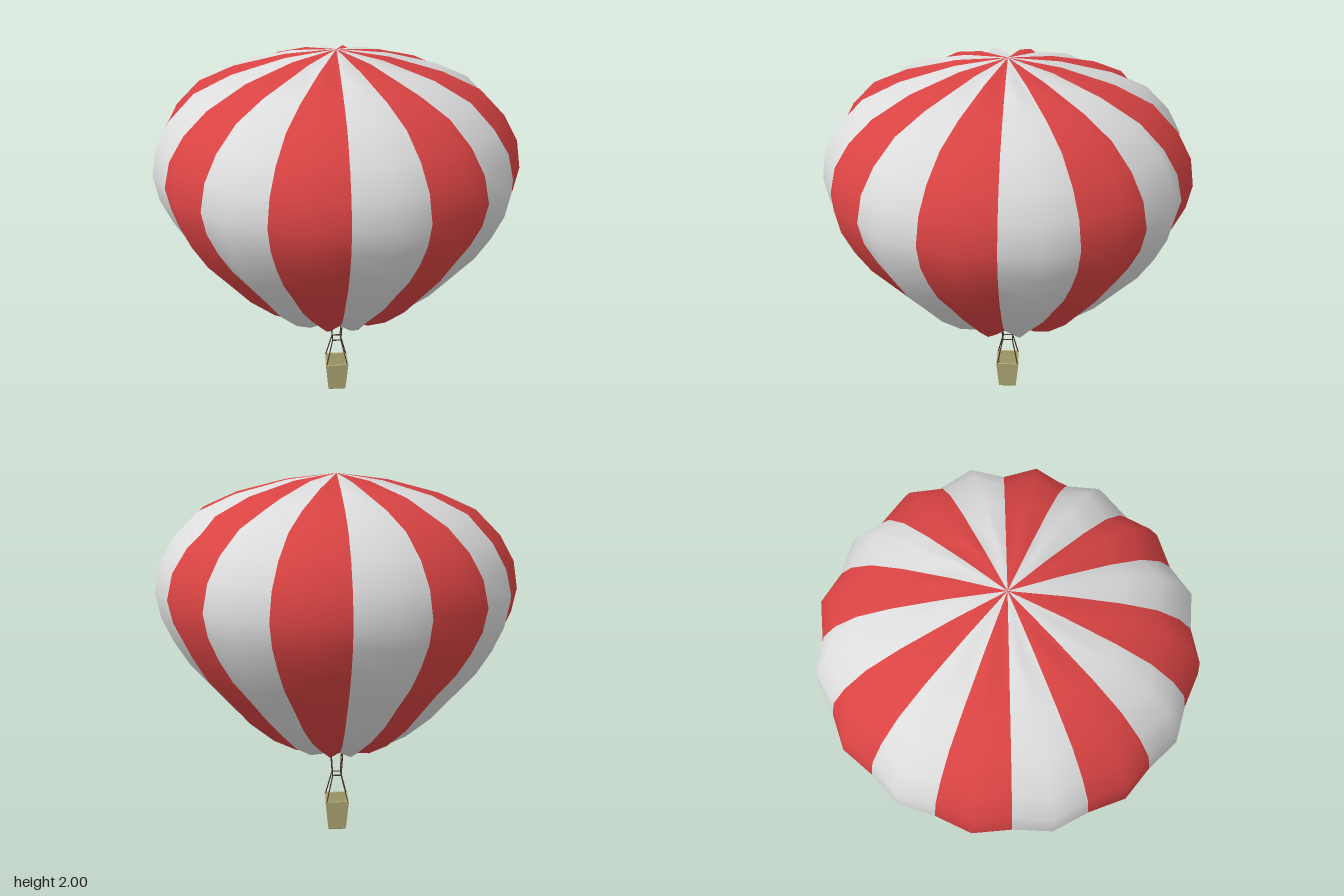
import * as THREE from 'three';
import { toCreasedNormals } from 'three/addons/utils/BufferGeometryUtils.js';

const mat = (name, color, side = THREE.FrontSide) => {
  const m = new THREE.MeshStandardMaterial({ color, side });
  m.name = name;
  return m;
};

// Puffed envelope: each gore has two seams and one bulging middle line.
function envelopeGeometry(gores) {
  // radius of the bulge line, height, depth of the seam below the bulge
  const profile = [
    [0, 2, 0], [0.26, 1.97, 0.035], [0.52, 1.905, 0.055], [0.704, 1.825, 0.06],
    [0.832, 1.7, 0.05], [0.908, 1.57, 0.04], [0.934, 1.43, 0.03], [0.913, 1.305, 0.033],
    [0.86, 1.18, 0.038], [0.785, 1.05, 0.043], [0.67, 0.91, 0.045], [0.56, 0.775, 0.045],
    [0.42, 0.645, 0.04], [0.28, 0.555, 0.03], [0, 0.465, 0],
  ];
  const cols = gores * 2, last = profile.length - 1;
  const pos = [0, profile[0][1], 0];
  for (let i = 1; i < last; i++) {
    const [r, y, depth] = profile[i], a = profile[i - 1], b = profile[i + 1];
    const tr = b[0] - a[0], ty = b[1] - a[1], len = Math.hypot(tr, ty);
    for (let j = 0; j < cols; j++) {
      const d = j % 2 ? 0 : depth; // seams sink inwards along the normal
      const rr = r + (ty / len) * d, yy = y - (tr / len) * d;
      const t = (j / cols) * Math.PI * 2;
      pos.push(rr * Math.cos(t), yy, rr * Math.sin(t));
    }
  }
  const bottom = pos.length / 3;
  pos.push(0, profile[last][1], 0);

  const g = new THREE.BufferGeometry();
  const index = [];
  const at = (i, j) => 1 + (i - 1) * cols + (j % cols);
  for (let k = 0; k < gores; k++) {
    const start = index.length;
    for (let j = k * 2; j < k * 2 + 2; j++) {
      index.push(0, at(1, j + 1), at(1, j));
      for (let i = 1; i < last - 1; i++) {
        index.push(at(i, j), at(i, j + 1), at(i + 1, j));
        index.push(at(i, j + 1), at(i + 1, j + 1), at(i + 1, j));
      }
      index.push(at(last - 1, j), at(last - 1, j + 1), bottom);
    }
    g.addGroup(start, index.length - start, k % 2);
  }
  g.setAttribute('position', new THREE.Float32BufferAttribute(pos, 3));
  g.setIndex(index);
  g.computeVertexNormals();
  return g;
}

// Thin rod between two points
function rod(name, a, b, radius, material) {
  const from = new THREE.Vector3(...a), to = new THREE.Vector3(...b);
  const dir = to.clone().sub(from);
  const mesh = new THREE.Mesh(new THREE.CylinderGeometry(radius, radius, dir.length(), 6), material);
  mesh.position.copy(from).add(to).multiplyScalar(0.5);
  mesh.quaternion.setFromUnitVectors(new THREE.Vector3(0, 1, 0), dir.normalize());
  mesh.name = name;
  return mesh;
}

export function createModel() {
  const group = new THREE.Group();
  group.name = 'hotAirBalloon';
  const red = mat('red fabric', 0xd94343, THREE.DoubleSide);
  const white = mat('white fabric', 0xdcdcdc, THREE.DoubleSide);
  const wicker = mat('wicker', 0xb8b07a);
  const rope = mat('rope', 0x4a3a2c);

  const envelope = new THREE.Mesh(envelopeGeometry(16), [red, white]);
  envelope.name = 'envelope';
  group.add(envelope);

  // Open, tapered square basket with a floor
  const s = Math.SQRT2;
  const wall = [[0, 0.005], [0.046, 0.005], [0.051, 0.012], [0.066, 0.187], [0.058, 0.187], [0.044, 0.02], [0, 0.02]];
  const shell = new THREE.LatheGeometry(wall.map(([r, y]) => new THREE.Vector2(r * s, y - 0.005)), 4, Math.PI / 4);
  const basket = new THREE.Mesh(toCreasedNormals(shell, 0.5), wicker);
  basket.name = 'basket';
  group.add(basket);

  // Ropes from the basket corners to a small square frame and on to the envelope
  const rigging = new THREE.Group();
  rigging.name = 'rigging';
  const corners = [[1, 1], [-1, 1], [-1, -1], [1, -1]];
  corners.forEach(([x, z], k) => {
    const [nx, nz] = corners[(k + 1) % 4];
    const frame = [x * 0.024, 0.333, z * 0.028];
    rigging.add(rod('basketRope', [x * 0.06, 0.18, z * 0.06], frame, 0.0035, rope));
    rigging.add(rod('envelopeRope', frame, [x * 0.033, 0.485, z * 0.038], 0.0035, rope));
    rigging.add(rod('frameBar', frame, [nx * 0.024, 0.333, nz * 0.028], 0.0035, rope));
  });
  group.add(rigging);
  return group;
}
